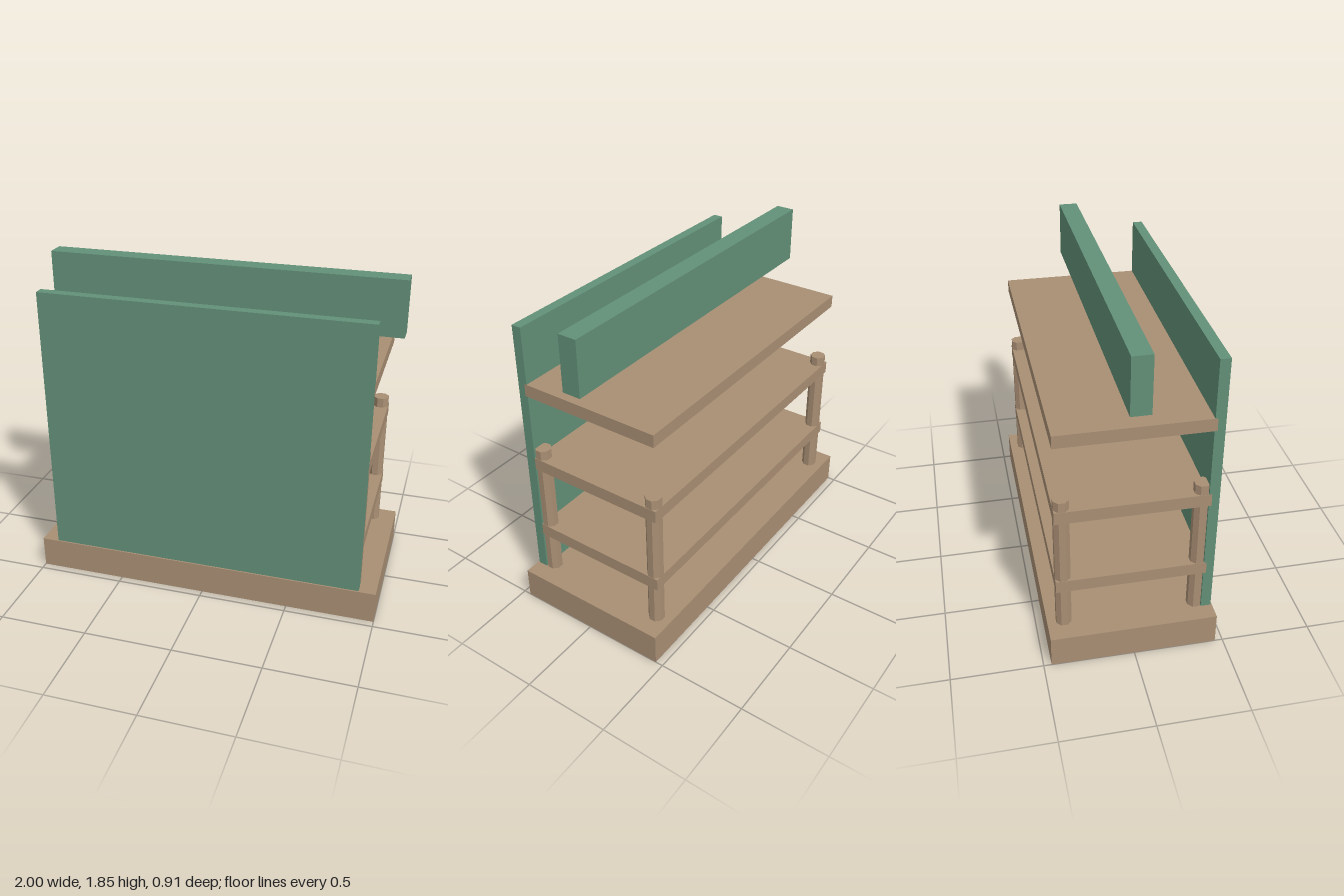
import * as THREE from 'three';

export function createModel() {
  const model = new THREE.Group();
  model.name = 'marketStall';

  const wood = new THREE.MeshStandardMaterial({ color: 0xa98f74, flatShading: true });
  wood.name = 'wood';
  const green = new THREE.MeshStandardMaterial({ color: 0x629078, flatShading: true });
  green.name = 'green';

  // Box given by its width, vertical span and depth span, centred on x
  function slab(name, material, width, y0, y1, z0, z1) {
    const mesh = new THREE.Mesh(new THREE.BoxGeometry(width, y1 - y0, z1 - z0), material);
    mesh.position.set(0, (y0 + y1) / 2, (z0 + z1) / 2);
    mesh.name = name;
    model.add(mesh);
  }

  const baseTop = 0.182;
  slab('base', wood, 2, 0, baseTop, -0.457, 0.457);

  // Three shelves, the top one floating above the posts
  [['lowerShelf', 0.423], ['middleShelf', 0.877], ['topShelf', 1.335]].forEach(([name, y]) =>
    slab(name, wood, 1.81, y, y + 0.072, -0.408, 0.408));

  // Eight-sided corner posts, flat faces towards the sides
  const postTop = 1.005;
  const postGeometry = new THREE.CylinderGeometry(0.045, 0.045, postTop - baseTop, 8);
  postGeometry.rotateY(Math.PI / 8);
  for (const x of [-0.862, 0.862]) {
    for (const z of [-0.366, 0.366]) {
      const post = new THREE.Mesh(postGeometry, wood);
      post.position.set(x, (baseTop + postTop) / 2, z);
      post.name = (z > 0 ? 'front' : 'back') + (x > 0 ? 'Left' : 'Right') + 'Post';
      model.add(post);
    }
  }

  // Front panel and the header board above
  slab('frontPanel', green, 1.81, baseTop, 1.733, 0.393, 0.449);
  slab('headerBoard', green, 2, 1.53, 1.845, -0.053, 0.053);

  return model;
}
